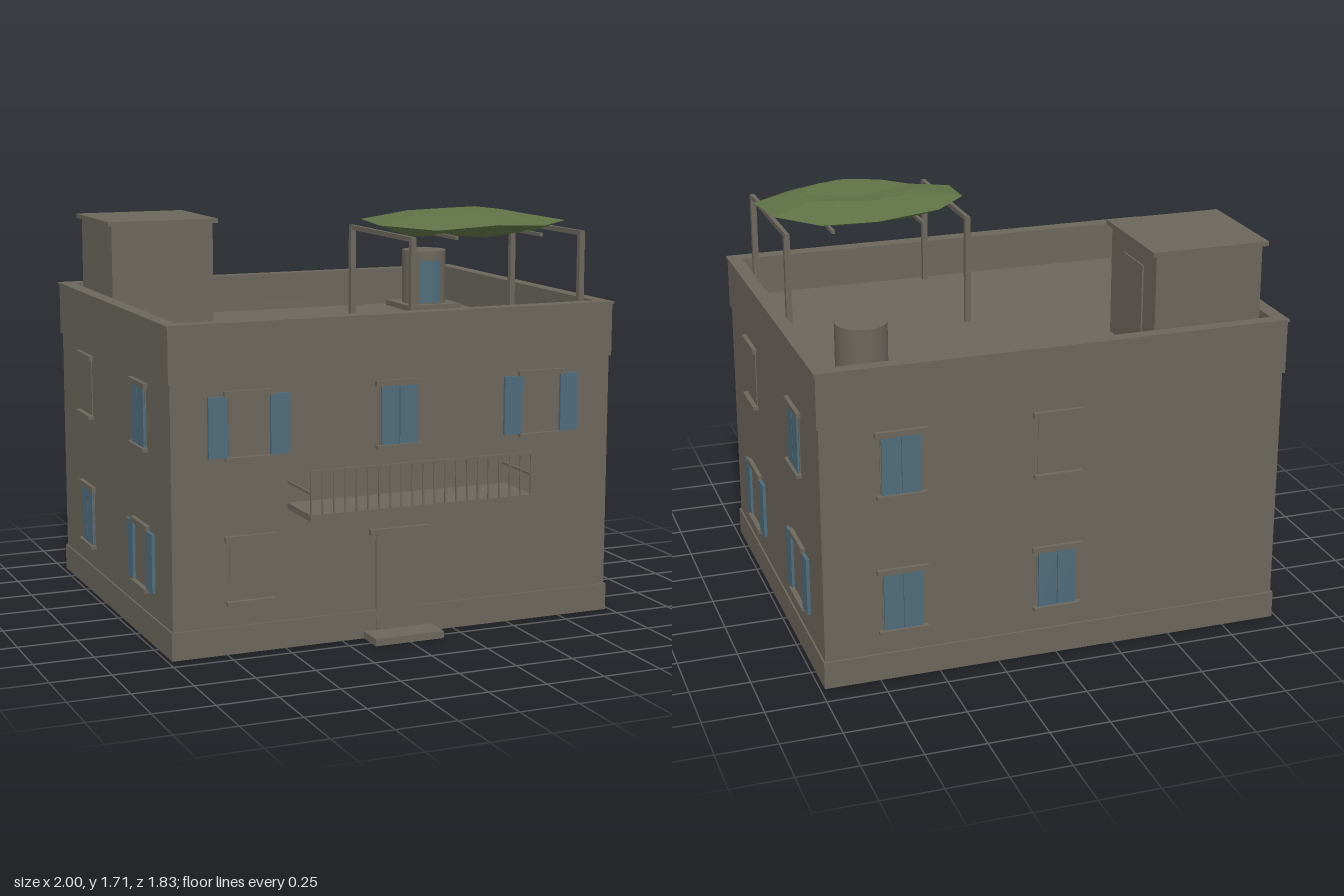
import * as THREE from 'three';

const mat = (name, color) => {
  const m = new THREE.MeshStandardMaterial({ color });
  m.name = name;
  return m;
};

export function createModel() {
  const stone = mat('stone grey', 0x6b665c);
  const blue = mat('shutter blue', 0x4f6b7a);
  const green = mat('canopy green', 0x5f7045);
  green.flatShading = true;

  const model = new THREE.Group();
  model.name = 'house';

  const add = (parent, name, geo, material) => {
    const m = new THREE.Mesh(geo, material);
    m.name = name;
    parent.add(m);
    return m;
  };
  // Box given by its low and high limits on each axis
  const box = (parent, name, x0, x1, y0, y1, z0, z1, material = stone) => {
    const m = add(parent, name, new THREE.BoxGeometry(x1 - x0, y1 - y0, z1 - z0), material);
    m.position.set((x0 + x1) / 2, (y0 + y1) / 2, (z0 + z1) / 2);
    return m;
  };
  // Hollow rectangle lying flat, extruded upwards
  const ring = (name, x, zBack, zFront, ix, izBack, izFront, y0, y1) => {
    const rect = (P, a, b, c) => {
      const p = new P();
      p.moveTo(-a, -b); p.lineTo(-a, -c); p.lineTo(a, -c); p.lineTo(a, -b); p.closePath();
      return p;
    };
    const shape = rect(THREE.Shape, x, zBack, zFront);
    shape.holes.push(rect(THREE.Path, ix, izBack, izFront));
    const geo = new THREE.ExtrudeGeometry(shape, { depth: y1 - y0, bevelEnabled: false });
    geo.rotateX(-Math.PI / 2).translate(0, y0, 0);
    return add(model, name, geo, stone);
  };

  // Main walls, plinth, roof floor and parapet
  box(model, 'plinth', -0.982, 0.982, 0, 0.115, -0.9, 0.678);
  box(model, 'walls', -0.975, 0.975, 0.115, 1.11, -0.89, 0.67);
  box(model, 'roofFloor', -0.95, 0.95, 1.11, 1.17, -0.87, 0.64);
  ring('parapet', 0.983, -0.9, 0.677, 0.935, -0.855, 0.62, 1.11, 1.33);
  ring('coping', 0.989, -0.907, 0.682, 0.929, -0.849, 0.613, 1.33, 1.34);

  // Windows: kind is 'plain', 'closed' or 'open' (shutters folded to the sides)
  const facade = (name, angle, x, z, windows) => {
    const wall = new THREE.Group();
    wall.name = name;
    wall.rotation.y = angle;
    wall.position.set(x, 0, z);
    model.add(wall);
    for (const [u, y, kind] of windows) {
      const w = new THREE.Group();
      w.name = kind + 'Window';
      w.position.set(u, y, 0);
      wall.add(w);
      box(w, 'sill', -0.102, 0.102, 0, 0.015, -0.01, 0.025);
      box(w, 'lintel', -0.106, 0.106, 0.257, 0.28, -0.01, 0.018);
      box(w, 'pane', -0.085, 0.085, 0.015, 0.257, -0.01, 0.004);
      for (const s of [-1, 1]) {
        if (kind === 'closed') {
          const leaf = box(w, 'shutter', -0.039, 0.039, 0.015, 0.257, 0, 0.012, blue);
          leaf.position.x = s * 0.041;
        } else if (kind === 'open') {
          const leaf = box(w, 'shutter', -0.041, 0.041, 0.015, 0.26, 0, 0.014, blue);
          leaf.position.x = s * 0.131;
        }
      }
    }
  };
  const lo = 0.205, hi = 0.79, q = Math.PI / 2;
  facade('frontFacade', 0, 0, 0.67,
    [[-0.65, hi, 'open'], [0, hi, 'closed'], [0.65, hi, 'open'], [-0.65, lo, 'plain']]);
  facade('rightFacade', q, 0.975, 0,
    [[-0.28, hi, 'plain'], [0.5, hi, 'closed'], [-0.28, lo, 'open'], [0.5, lo, 'open']]);
  facade('backFacade', 2 * q, 0, -0.89,
    [[0, hi, 'plain'], [-0.65, hi, 'closed'], [0, lo, 'closed'], [-0.65, lo, 'closed']]);
  facade('leftFacade', -q, -0.975, 0,
    [[-0.5, hi, 'plain'], [0.28, hi, 'closed'], [-0.5, lo, 'closed'], [0.28, lo, 'open']]);

  // Entrance
  box(model, 'frontDoor', -0.1, 0.1, 0.03, 0.435, 0.66, 0.68);
  box(model, 'doorLintel', -0.13, 0.13, 0.435, 0.456, 0.66, 0.69);
  box(model, 'doorStep', -0.155, 0.15, 0, 0.03, 0.66, 0.8);

  // Balcony with railing
  box(model, 'balconySlab', -0.487, 0.487, 0.575, 0.6, 0.66, 0.915);
  box(model, 'topRail', -0.487, 0.487, 0.768, 0.777, 0.906, 0.916);
  for (let i = 0; i <= 20; i++) {
    const x = -0.482 + i * 0.0482;
    box(model, 'baluster', x - 0.003, x + 0.003, 0.6, 0.77, 0.908, 0.914);
  }
  for (const s of [-1, 1])
    box(model, 'sideRail', s * 0.481 - 0.005, s * 0.481 + 0.005, 0.68, 0.69, 0.66, 0.915);

  // Stair house on the roof
  box(model, 'stairHouse', -0.895, -0.435, 1.17, 1.636, -0.815, -0.35);
  box(model, 'stairHouseRoof', -0.915, -0.415, 1.636, 1.655, -0.832, -0.334);
  box(model, 'stairHouseDoor', -0.44, -0.428, 1.17, 1.56, -0.69, -0.49);

  // Water tank
  box(model, 'tankBase', 0.6, 0.87, 1.17, 1.195, -0.8, -0.53);
  add(model, 'waterTank', new THREE.CylinderGeometry(0.104, 0.104, 0.25, 24), stone)
    .position.set(0.737, 1.32, -0.665);
  add(model, 'tankPanel',
    new THREE.CylinderGeometry(0.106, 0.106, 0.2, 8, 1, true, -0.6, 1.0), blue)
    .position.set(0.737, 1.3, -0.665);

  // Pergola frame
  for (const x of [0.095, 0.875]) {
    for (const z of [-0.032, 0.59])
      box(model, 'pergolaPost', x - 0.012, x + 0.012, 1.17, 1.63, z - 0.012, z + 0.012);
    box(model, 'pergolaBeam', x - 0.009, x + 0.009, 1.615, 1.635, -0.05, 0.6);
  }
  for (const x of [0.29, 0.68])
    box(model, 'pergolaSlat', x - 0.007, x + 0.007, 1.618, 1.632, -0.05, 0.6);

  // Leafy canopy: uneven rim between an upper and a lower ring
  const rim = [
    [0.49, 1.655, -0.06], [0.72, 1.645, -0.01], [0.89, 1.665, 0.11], [0.92, 1.66, 0.37], [0.73, 1.655, 0.53],
    [0.49, 1.67, 0.59], [0.24, 1.65, 0.52], [0.05, 1.665, 0.36], [0.06, 1.675, 0.14], [0.2, 1.66, 0.02],
  ];
  const upperY = [1.705, 1.71, 1.7, 1.695, 1.71, 1.71, 1.705, 1.7, 1.71, 1.705];
  const cx = 0.485, cz = 0.265, n = rim.length;
  const inner = (k, heights) =>
    rim.map(([x, , z], i) => [cx + (x - cx) * k, heights[i], cz + (z - cz) * k]);
  const upper = inner(0.55, upperY);
  const lower = inner(0.65, upperY.map((y, i) => (i % 2 ? 1.61 : 1.62)));
  const points = [...upper, ...rim, ...lower, [cx, 1.68, cz], [cx, 1.63, cz]].flat();
  const index = [];
  for (let i = 0; i < n; i++) {
    const j = (i + 1) % n;
    for (const r of [0, n])
      index.push(r + i, r + j, r + n + i, r + j, r + n + j, r + n + i);
    index.push(3 * n, j, i, 3 * n + 1, 2 * n + i, 2 * n + j);
  }
  const canopy = new THREE.BufferGeometry();
  canopy.setAttribute('position', new THREE.Float32BufferAttribute(points, 3));
  canopy.setIndex(index);
  canopy.computeVertexNormals();
  add(model, 'canopy', canopy, green);

  return model;
}
